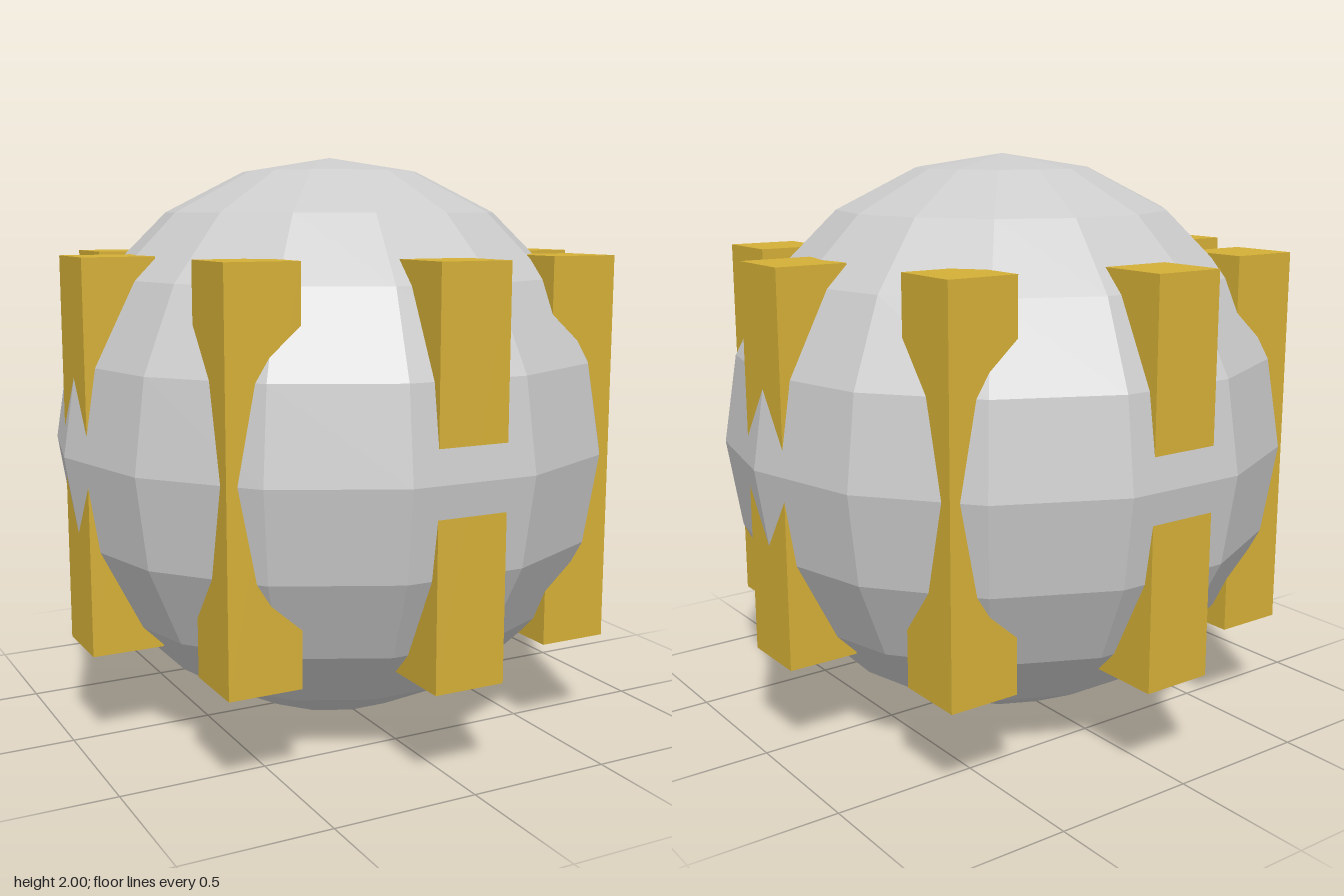
import * as THREE from 'three';

export function createModel() {
  const group = new THREE.Group();
  group.name = 'barredSphere';

  // Faceted ball
  const grey = new THREE.MeshStandardMaterial({ color: 0xcccccc, flatShading: true });
  const ball = new THREE.Mesh(new THREE.SphereGeometry(1, 14, 10), grey);
  ball.name = 'ball';
  ball.position.y = 1;
  group.add(ball);

  // Ring of eight upright bars, all aligned with the axes
  const gold = new THREE.MeshStandardMaterial({ color: 0xd4af37 });
  const barGeometry = new THREE.BoxGeometry(0.25, 4 / 3, 0.25);
  const bars = new THREE.Group();
  bars.name = 'bars';
  const count = 8, radius = 0.833;
  for (let i = 0; i < count; i++) {
    const angle = (i / count) * Math.PI * 2;
    const bar = new THREE.Mesh(barGeometry, gold);
    bar.name = `bar${i + 1}`;
    bar.position.set(Math.cos(angle) * radius, 1, Math.sin(angle) * radius);
    bars.add(bar);
  }
  group.add(bars);

  return group;
}
